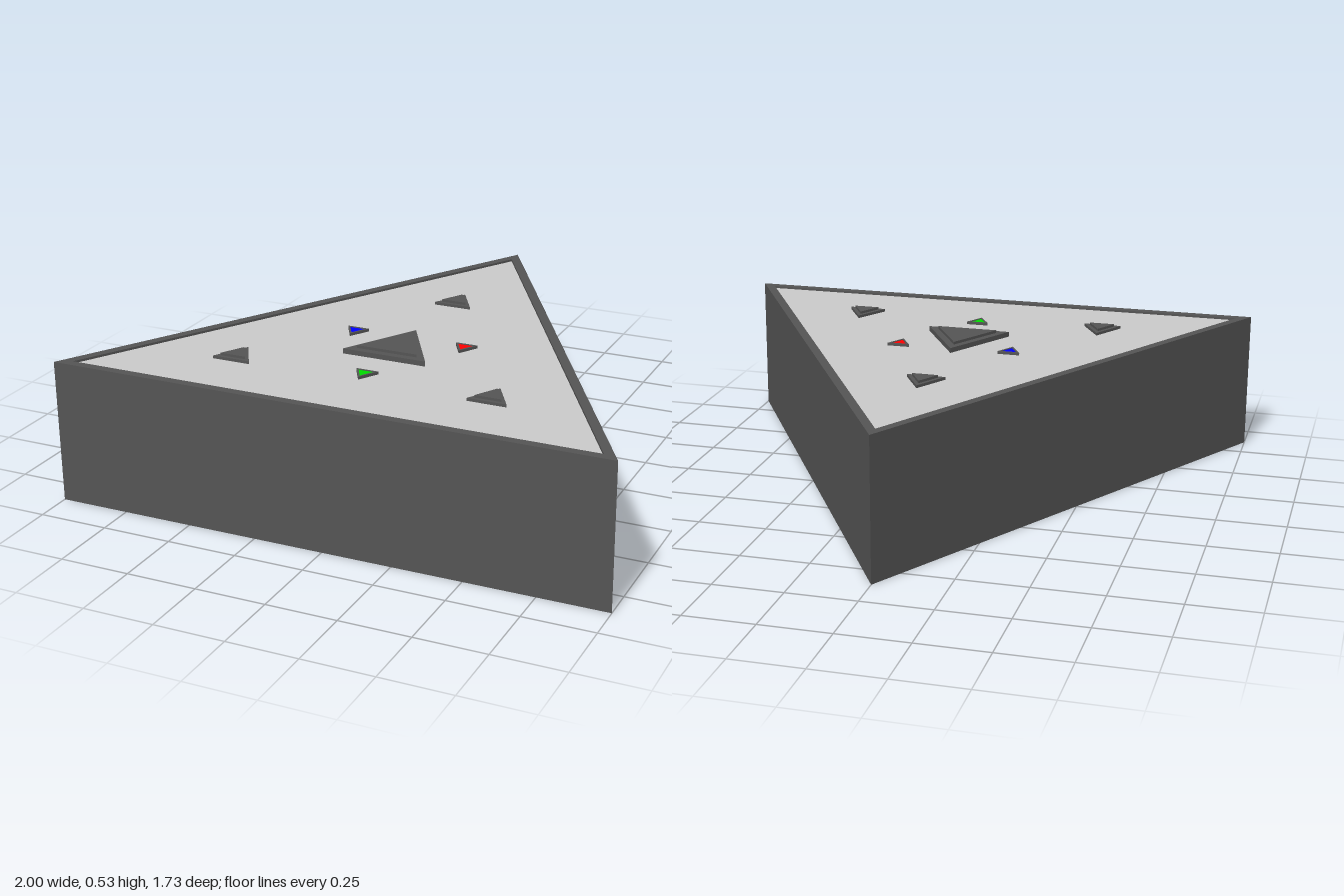
import * as THREE from 'three';

const CZ = 0.289;      // centroid of the big triangle
const R = 1.1547;      // its circumradius
const CEILING = 0.468; // underside of the deck
const TOP = 0.512;

const mat = (color) => new THREE.MeshStandardMaterial({ color, flatShading: true, side: THREE.DoubleSide });
const dark = mat(0x555555), black = mat(0x383838), grey = mat(0xcccccc);
const red = mat(0xff0000), green = mat(0x00dd00), blue = mat(0x0000ff);

// corners of an equilateral triangle, first one pointing to the back
const corners = (r) => [0, 1, 2].map((i) => {
  const a = Math.PI / 2 + (i * Math.PI * 2) / 3;
  return new THREE.Vector2(r * Math.cos(a), r * Math.sin(a));
});

// triangular slab or frame between heights y0 and y1
function tri(name, r, inner, y0, y1, material) {
  const shape = new THREE.Shape(corners(r));
  if (inner) shape.holes.push(new THREE.Path(corners(inner).reverse()));
  const g = new THREE.ExtrudeGeometry(shape, { depth: y1 - y0, bevelEnabled: false });
  g.rotateX(-Math.PI / 2).translate(0, y0, 0);
  const m = new THREE.Mesh(g, material);
  m.name = name;
  return m;
}

// group placed at a distance from the centre, angle 0 = front
function place(name, distance, angle, flipped, parts) {
  const g = new THREE.Group();
  g.name = name;
  g.add(...parts);
  g.position.set(distance * Math.sin(angle), 0, distance * Math.cos(angle));
  if (flipped) g.rotation.y = Math.PI;
  return g;
}

// concentric frames hanging from the ceiling
const emitter = (r, color, depth) => [
  tri('emitterFrame', r, r * 0.8, CEILING - depth, CEILING, color),
  tri('emitterDarkFrame', r * 0.7, r * 0.52, CEILING - depth * 0.7, CEILING, dark),
  tri('emitterInnerFrame', r * 0.42, r * 0.27, CEILING - depth, CEILING, color),
  tri('emitterCore', r * 0.22, 0, CEILING - depth, CEILING, dark),
];

export function createModel() {
  const model = new THREE.Group();
  const hull = new THREE.Group();
  hull.name = 'hull';
  hull.position.z = CZ;
  model.add(hull);

  // thin skirt wall, open below
  const skirt = new THREE.Mesh(new THREE.CylinderGeometry(R, R, TOP, 3, 1, true), dark);
  skirt.name = 'skirt';
  skirt.rotation.y = Math.PI;
  skirt.position.y = TOP / 2;
  hull.add(skirt);

  // deck with raised rim and recessed light panel
  hull.add(
    tri('rim', R - 0.001, 1.09, CEILING + 0.01, TOP, dark),
    tri('ceiling', R - 0.001, 0, CEILING, CEILING + 0.012, black),
    tri('topPanel', 1.09, 0, CEILING + 0.012, 0.504, grey),
  );

  // stepped centre block
  hull.add(place('centreBlock', 0, 0, false, [
    tri('centreBlockBase', 0.178, 0, 0.5, 0.522, dark),
    tri('centreBlockTop', 0.129, 0, 0.52, 0.532, dark),
  ]));

  const turn = (Math.PI * 2) / 3;
  const lightColors = [green, red, blue];     // front, left, right
  const emitterColors = [blue, green, red];
  for (let i = 0; i < 3; i++) {
    const side = i * turn;
    const corner = side + Math.PI;            // back, right, left corners

    // corner studs
    hull.add(place('cornerStud', 0.54, corner, false, [
      tri('studBase', 0.08, 0, 0.5, 0.514, dark),
      tri('studTop', 0.054, 0, 0.51, 0.523, dark),
    ]));

    // indicator lights, pointing forward
    hull.add(place('indicatorLight', 0.24, side, true, [
      tri('lightFrame', 0.047, 0.034, 0.5, 0.514, dark),
      tri('lightLens', 0.034, 0, 0.5, 0.512, lightColors[i]),
    ]));

    // large corner emitters and small inner emitters below the deck
    hull.add(place('cornerEmitter', 0.56, corner, false, [
      tri('emitterSurround', 0.52, 0.46, CEILING - 0.02, CEILING, dark),
      ...emitter(0.37, emitterColors[i], 0.04),
    ]));
    hull.add(place('innerEmitter', 0.24, side, true, emitter(0.216, emitterColors[i], 0.04)));
  }

  // centre of the underside
  hull.add(
    tri('lowerCentreFrame', 0.2, 0.15, CEILING - 0.03, CEILING, dark),
    tri('lowerCentreCore', 0.1, 0, CEILING - 0.03, CEILING, dark),
  );
  return model;
}
